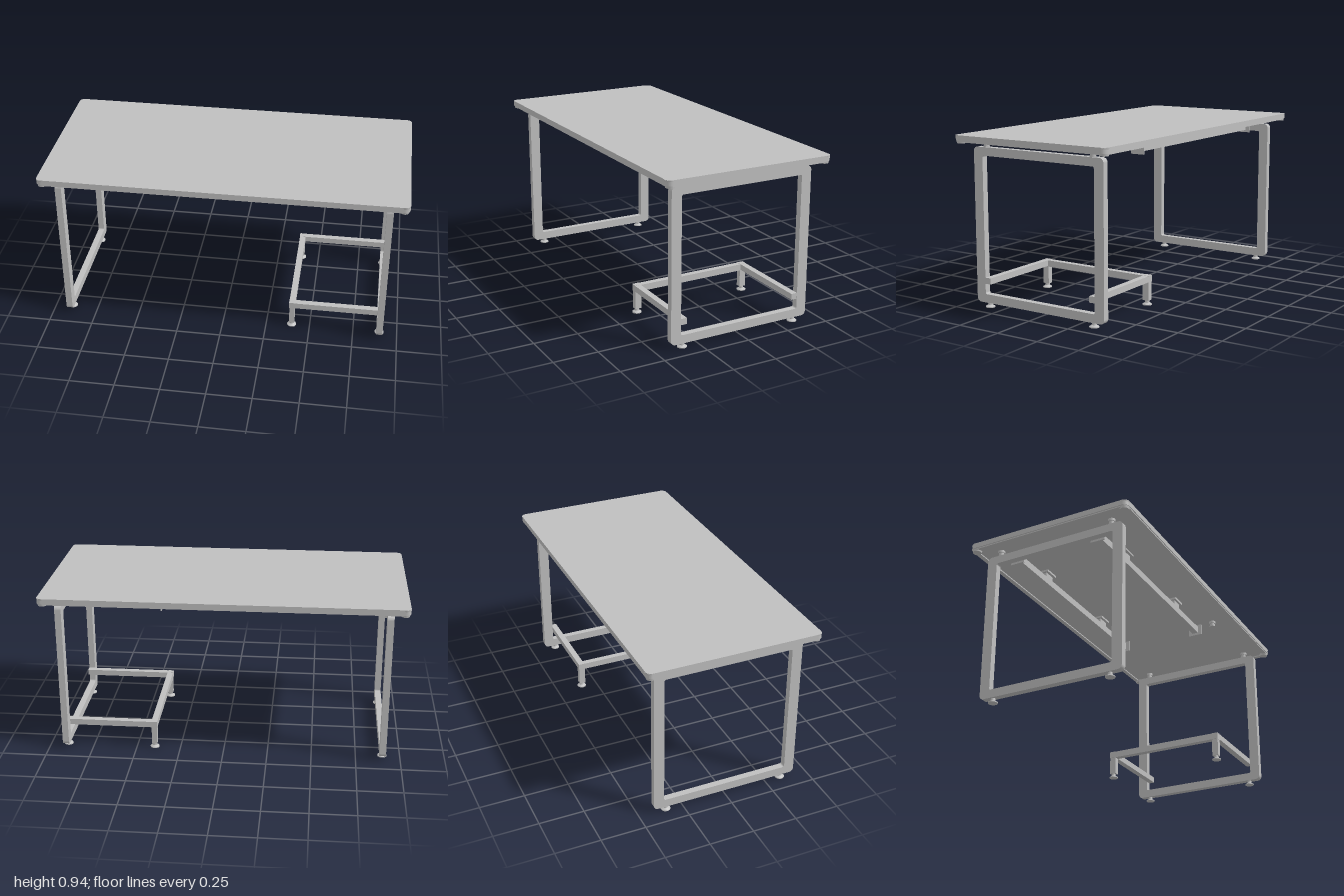
import * as THREE from 'three';

const steel = new THREE.MeshStandardMaterial({ color: 0xbfbfbf });
steel.name = 'light grey';

// Rounded rectangle outline, used for shapes and holes
function roundedRect(target, x0, y0, x1, y1, r) {
  target.moveTo(x0 + r, y0);
  target.lineTo(x1 - r, y0);
  target.absarc(x1 - r, y0 + r, r, -Math.PI / 2, 0, false);
  target.lineTo(x1, y1 - r);
  target.absarc(x1 - r, y1 - r, r, 0, Math.PI / 2, false);
  target.lineTo(x0 + r, y1);
  target.absarc(x0 + r, y1 - r, r, Math.PI / 2, Math.PI, false);
  target.lineTo(x0, y0 + r);
  target.absarc(x0 + r, y0 + r, r, Math.PI, Math.PI * 1.5, false);
  return target;
}

function add(parent, name, geometry, x = 0, y = 0, z = 0) {
  const mesh = new THREE.Mesh(geometry, steel);
  mesh.name = name;
  mesh.position.set(x, y, z);
  parent.add(mesh);
  return mesh;
}

// Box given by its min and max corners
function addBox(parent, name, [x0, x1], [y0, y1], [z0, z1]) {
  return add(parent, name, new THREE.BoxGeometry(x1 - x0, y1 - y0, z1 - z0),
    (x0 + x1) / 2, (y0 + y1) / 2, (z0 + z1) / 2);
}

const mirrored = (side, a, b) => (side > 0 ? [a, b] : [-b, -a]);

// Horizontal slab from a flat outline
function slab(shape, y0, y1) {
  const g = new THREE.ExtrudeGeometry(shape, { depth: y1 - y0, bevelEnabled: false, curveSegments: 8 });
  g.rotateX(-Math.PI / 2);
  g.translate(0, y0, 0);
  return g;
}

function addTop(parent) {
  const top = new THREE.Group();
  top.name = 'tableTop';
  const outline = roundedRect(new THREE.Shape(), -1, -0.486, 1, 0.486, 0.03);
  add(top, 'panel', slab(outline, 0.908, 0.938));
  // Lip around the underside
  const lip = roundedRect(new THREE.Shape(), -0.995, -0.481, 0.995, 0.481, 0.026);
  lip.holes.push(roundedRect(new THREE.Path(), -0.97, -0.456, 0.97, 0.456, 0.008));
  add(top, 'lip', slab(lip, 0.901, 0.908));
  // Corner caps
  for (const sx of [-1, 1]) for (const sz of [-1, 1]) {
    const cap = add(top, 'cornerCap', new THREE.CylinderGeometry(0.031, 0.024, 0.042, 20), sx * 0.97, 0.915, sz * 0.457);
    cap.scale.set(0.99, 1, 0.99);
  }
  parent.add(top);
}

const footGeometry = new THREE.LatheGeometry(
  [[0, 0], [0.026, 0], [0.026, 0], [0.026, 0.005], [0.026, 0.005], [0.013, 0.013],
    [0.013, 0.013], [0.011, 0.03]].map(([r, y]) => new THREE.Vector2(r, y)), 20);

// Flanged spacer hanging from the top
function addSpacer(parent, x, z) {
  const spacer = new THREE.Group();
  spacer.name = 'spacer';
  spacer.position.set(x, 0, z);
  add(spacer, 'upperFlange', new THREE.CylinderGeometry(0.02, 0.02, 0.014, 20), 0, 0.901, 0);
  add(spacer, 'stem', new THREE.CylinderGeometry(0.015, 0.015, 0.02, 20), 0, 0.886, 0);
  add(spacer, 'lowerFlange', new THREE.CylinderGeometry(0.017, 0.017, 0.005, 20), 0, 0.8765, 0);
  parent.add(spacer);
}

function addLegFrame(parent, x) {
  const shape = roundedRect(new THREE.Shape(), -0.418, 0.026, 0.418, 0.874, 0.025);
  shape.holes.push(roundedRect(new THREE.Path(), -0.36, 0.073, 0.36, 0.828, 0.01));
  const g = new THREE.ExtrudeGeometry(shape, { depth: 0.036, bevelEnabled: false, curveSegments: 6 });
  g.translate(0, 0, -0.018);
  g.rotateY(Math.PI / 2);
  add(parent, 'legFrame', g, x);
  for (const z of [-0.344, 0.344]) {
    add(parent, 'foot', footGeometry, x, 0, z);
    addSpacer(parent, x, z);
  }
}

// Beam under the top with end plates and two mounting tabs
function addBeam(parent, z) {
  const beam = new THREE.Group();
  beam.name = 'supportBeam';
  beam.position.z = z;
  addBox(beam, 'beam', [-0.88, 0.35], [0.83, 0.87], [-0.018, 0.018]);
  for (const x of [-0.882, 0.347]) {
    addBox(beam, 'endPlate', [x, x + 0.006], [0.816, 0.883], [-0.042, 0.042]);
  }
  for (const x of [-0.577, 0.05]) {
    addBox(beam, 'tabStem', [x - 0.033, x + 0.033], [0.868, 0.897], [-0.016, 0.016]);
    addBox(beam, 'tabFlange', [x - 0.045, x + 0.045], [0.896, 0.909], [-0.031, 0.031]);
  }
  parent.add(beam);
}

// Low support frame beside the left legs
function addLowFrame(parent) {
  const low = new THREE.Group();
  low.name = 'lowFrame';
  addBox(low, 'crossBar', [0.38, 0.414], [0.127, 0.164], [-0.325, 0.325]);
  for (const s of [-1, 1]) {
    addBox(low, 'sideRail', [0.414, 0.917], [0.13, 0.164], mirrored(s, 0.325, 0.36));
    addBox(low, 'cornerBlock', [0.379, 0.414], [0.127, 0.165], mirrored(s, 0.324, 0.36));
    addBox(low, 'post', [0.382, 0.412], [0.026, 0.128], mirrored(s, 0.322, 0.359));
    add(low, 'foot', footGeometry, 0.397, 0, s * 0.342);
  }
  parent.add(low);
}

export function createModel() {
  const model = new THREE.Group();
  model.name = 'table';
  addTop(model);
  for (const x of [-0.9, 0.9]) addLegFrame(model, x);
  for (const z of [-0.25, 0.25]) addBeam(model, z);
  for (const z of [-0.344, 0.344]) addSpacer(model, 0.398, z);
  addLowFrame(model);
  return model;
}
